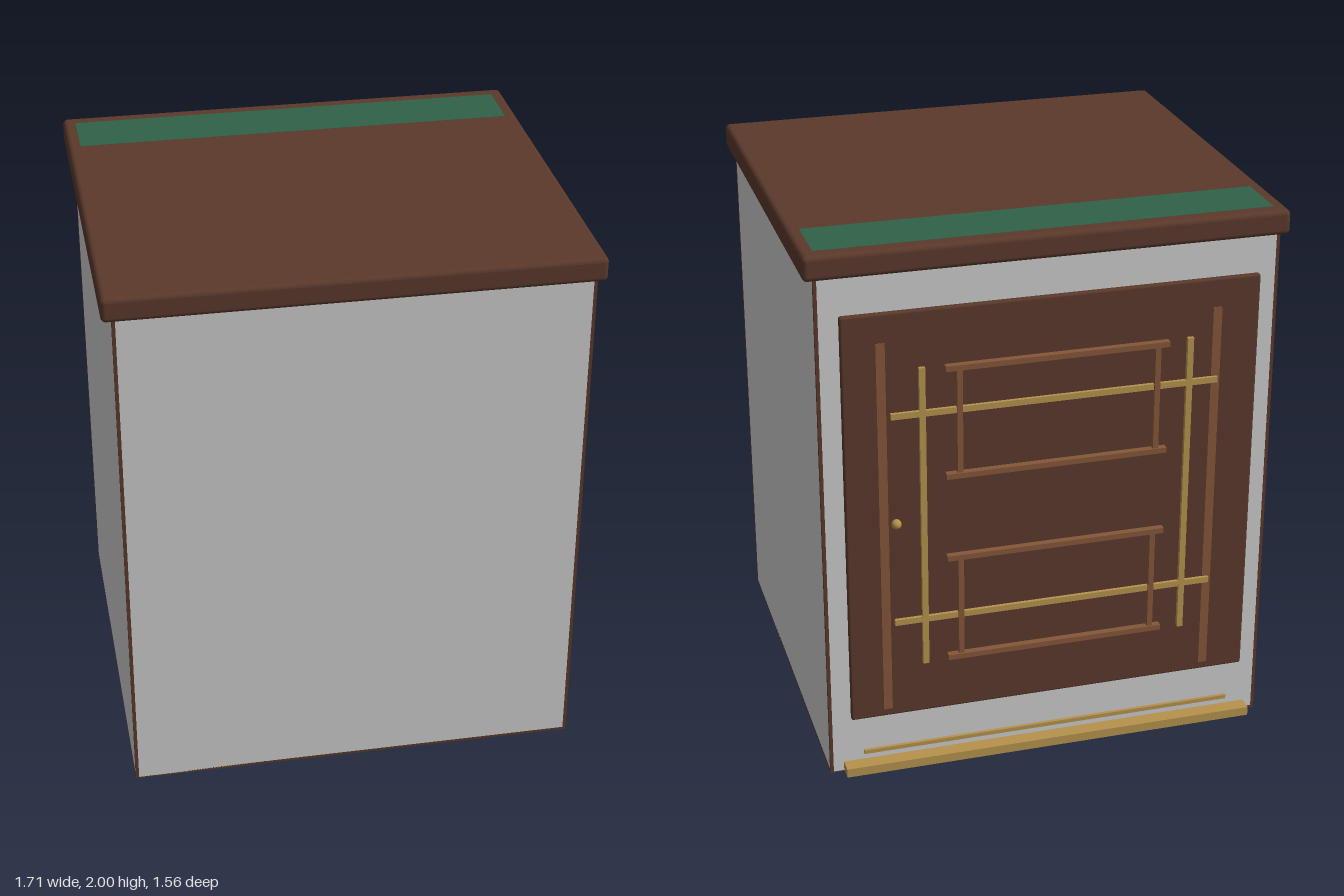
import * as THREE from 'three';
import { RoundedBoxGeometry } from 'three/addons/geometries/RoundedBoxGeometry.js';

const mat = (color) => new THREE.MeshStandardMaterial({ color });

export function createModel() {
  const model = new THREE.Group();
  model.name = 'cabinet';
  const grey = mat(0xcccccc);
  const wood = mat(0x5a392b);
  const copper = mat(0x85573a);
  const brass = mat(0xb5924c);
  const green = mat(0x2f6148);

  const add = (name, geometry, material, x, y, z) => {
    const mesh = new THREE.Mesh(geometry, material);
    mesh.name = name;
    mesh.position.set(x, y, z);
    model.add(mesh);
    return mesh;
  };
  // Box given by its [min, max] range on each axis; r rounds the edges
  const block = (name, material, [x0, x1], [y0, y1], [z0, z1], r = 0) => {
    const size = [x1 - x0, y1 - y0, z1 - z0];
    const geometry = r ? new RoundedBoxGeometry(...size, 3, r) : new THREE.BoxGeometry(...size);
    return add(name, geometry, material, (x0 + x1) / 2, (y0 + y1) / 2, (z0 + z1) / 2);
  };

  // Carcass with a wooden underside and slim corner edging
  block('body', grey, [-0.82, 0.82], [0.004, 1.93], [-0.725, 0.77]);
  block('basePlate', wood, [-0.82, 0.82], [0, 0.01], [-0.725, 0.77]);
  for (const x of [-0.8145, 0.8145]) {
    for (const z of [-0.7195, 0.7645]) {
      block('cornerEdging', wood, [x - 0.006, x + 0.006], [0.001, 1.92], [z - 0.006, z + 0.006]);
    }
  }

  // Overhanging top with an inlaid strip along the back
  block('top', wood, [-0.855, 0.855], [1.91, 1.9995], [-0.735, 0.78], 0.018);
  block('topInlay', green, [-0.81, 0.81], [1.99, 2], [-0.68, -0.46]);

  // Door on the back face
  block('door', wood, [-0.75, 0.74], [0.22, 1.78], [-0.745, -0.72], 0.008);
  for (const x of [-0.595, 0.605]) {
    block('doorInlay', copper, [x - 0.016, x + 0.016], [0.25, 1.675], [-0.747, -0.74]);
  }

  // Crossed brass bars
  for (const x of [-0.495, 0.465]) {
    block('brassUpright', brass, [x - 0.011, x + 0.011], [0.425, 1.575], [-0.76, -0.743]);
  }
  for (const y of [0.605, 1.405]) {
    block('brassRail', brass, [-0.6, 0.575], [y - 0.011, y + 0.011], [-0.758, -0.743]);
  }

  // Two raised panel frames with overhanging rails
  for (const [y0, y1] of [[0.43, 0.85], [1.15, 1.575]]) {
    for (const y of [y0 + 0.01, y1 - 0.01]) {
      block('frameRail', copper, [-0.415, 0.385], [y - 0.01, y + 0.01], [-0.77, -0.744]);
    }
    for (const x of [-0.375, 0.335]) {
      block('frameUpright', copper, [x - 0.01, x + 0.01], [y0, y1], [-0.765, -0.744]);
    }
  }

  // Door knob
  add('knob', new THREE.SphereGeometry(0.018, 20, 14), brass, 0.565, 1, -0.762);
  const stem = add('knobStem', new THREE.CylinderGeometry(0.008, 0.008, 0.025, 12), brass, 0.565, 1, -0.75);
  stem.rotation.x = Math.PI / 2;

  // Sill and trim strip below the door
  block('sill', brass, [-0.775, 0.77], [0.006, 0.04], [-0.78, -0.72]);
  block('trimStrip', brass, [-0.7, 0.695], [0.066, 0.081], [-0.737, -0.72]);

  return model;
}
